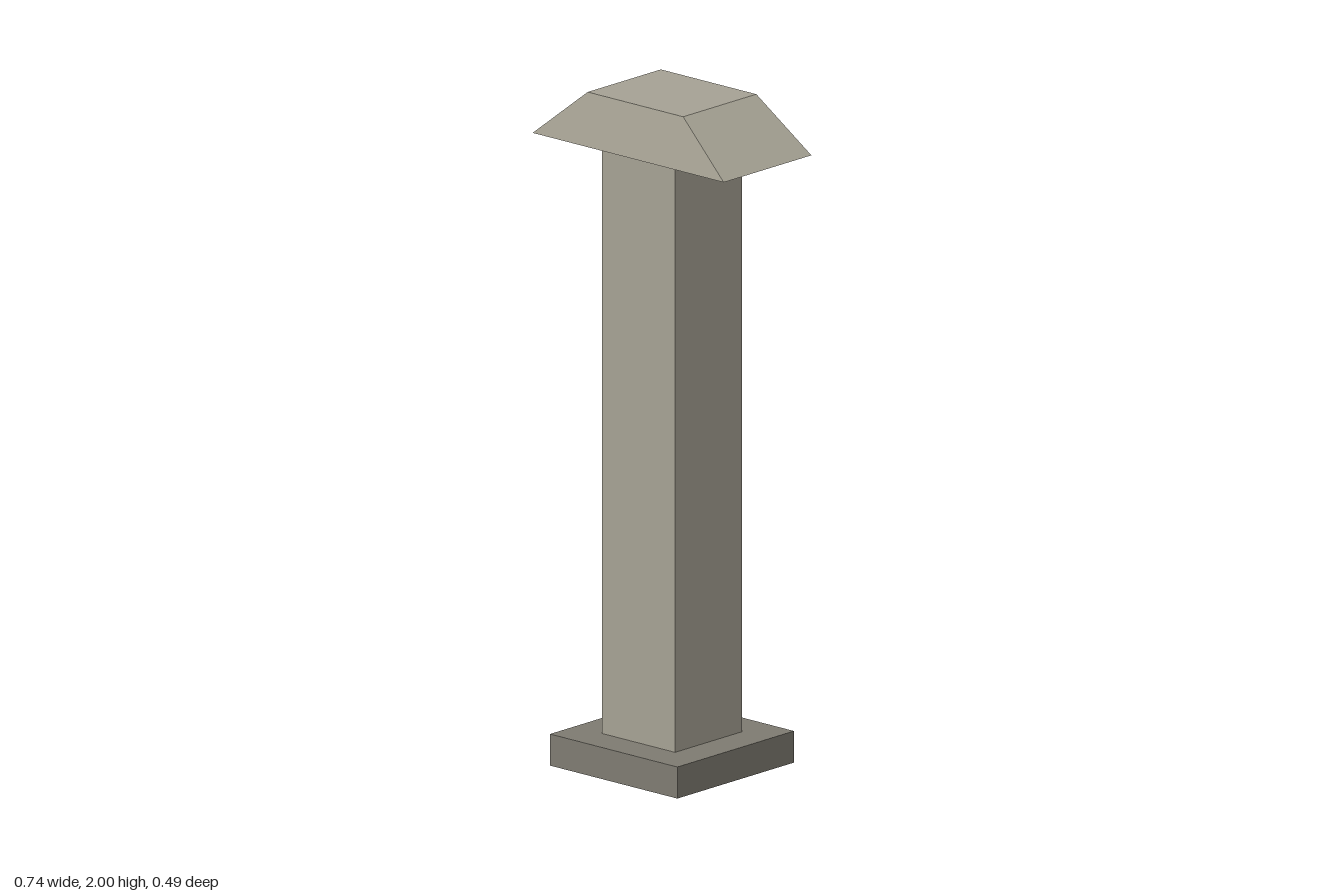
import * as THREE from 'three';

export function createModel() {
  const stone = new THREE.MeshStandardMaterial({ name: 'light stone', color: 0xa8a496 });
  const darkStone = new THREE.MeshStandardMaterial({ name: 'dark stone', color: 0x807d73 });
  const model = new THREE.Group();
  model.name = 'pillar';

  // Box standing between y0 and y1; the top can be narrowed by factors in x and z
  function block(name, material, width, depth, y0, y1, topX = 1, topZ = 1) {
    const geometry = new THREE.BoxGeometry(width, y1 - y0, depth);
    geometry.translate(0, (y0 + y1) / 2, 0);
    const p = geometry.attributes.position;
    const middle = (y0 + y1) / 2;
    for (let i = 0; i < p.count; i++) {
      if (p.getY(i) > middle) {
        p.setX(i, p.getX(i) * topX);
        p.setZ(i, p.getZ(i) * topZ);
      }
    }
    geometry.computeVertexNormals();
    const mesh = new THREE.Mesh(geometry, material);
    mesh.name = name;
    model.add(mesh);
  }

  block('base', darkStone, 0.494, 0.494, 0, 0.094);
  block('shaft', stone, 0.284, 0.284, 0.094, 1.848);
  // Capital: long sloping ends, steep front and back
  block('capital', stone, 0.741, 0.371, 1.848, 2, 0.5, 0.835);

  return model;
}
